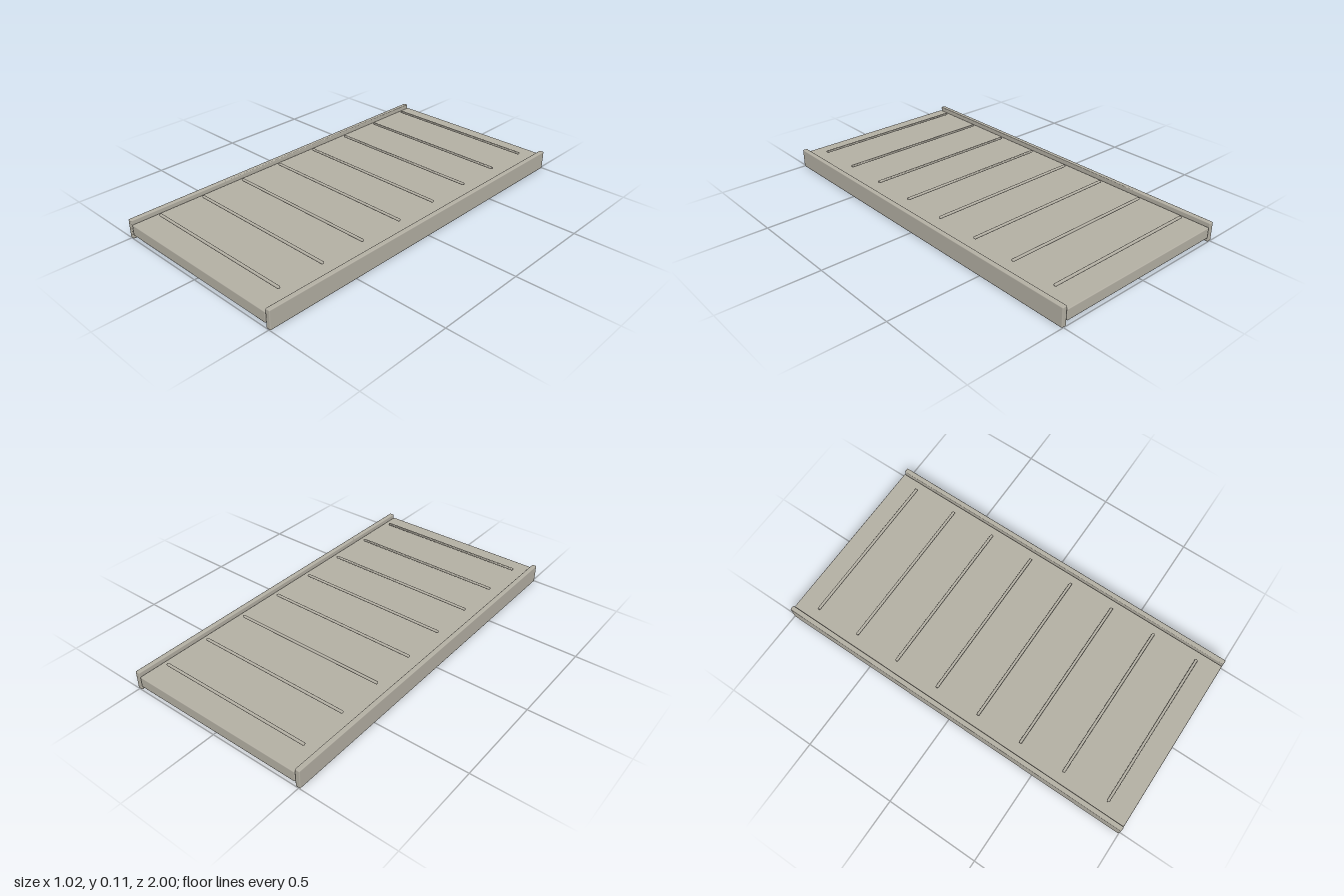
import * as THREE from 'three';
import { RoundedBoxGeometry } from 'three/addons/geometries/RoundedBoxGeometry.js';

export function createModel() {
  const group = new THREE.Group();
  group.name = 'ribbedRamp';
  const metal = new THREE.MeshStandardMaterial({ color: 0xb4b0a4 });
  metal.name = 'warm grey';

  // Box with softened edges, centred on x, y, z
  const block = (name, size, bevel, x, y, z) => {
    const mesh = new THREE.Mesh(new RoundedBoxGeometry(...size, 1, bevel), metal);
    mesh.name = name;
    mesh.position.set(x, y, z);
    group.add(mesh);
  };

  // Main deck
  block('deck', [0.96, 0.058, 2], 0.005, 0, 0.051, 0);

  // Side rails, with a hairline gap to the deck
  for (const side of [-1, 1]) {
    block(side > 0 ? 'leftRail' : 'rightRail', [0.026, 0.1, 2], 0.005, side * 0.496, 0.05, 0);
  }

  // Grip ribs hovering just above the deck
  for (let i = 0; i < 8; i++) {
    block(`gripRib${i + 1}`, [0.856, 0.012, 0.015], 0.005, 0, 0.105, -0.875 + i * 0.25);
  }

  return group;
}
